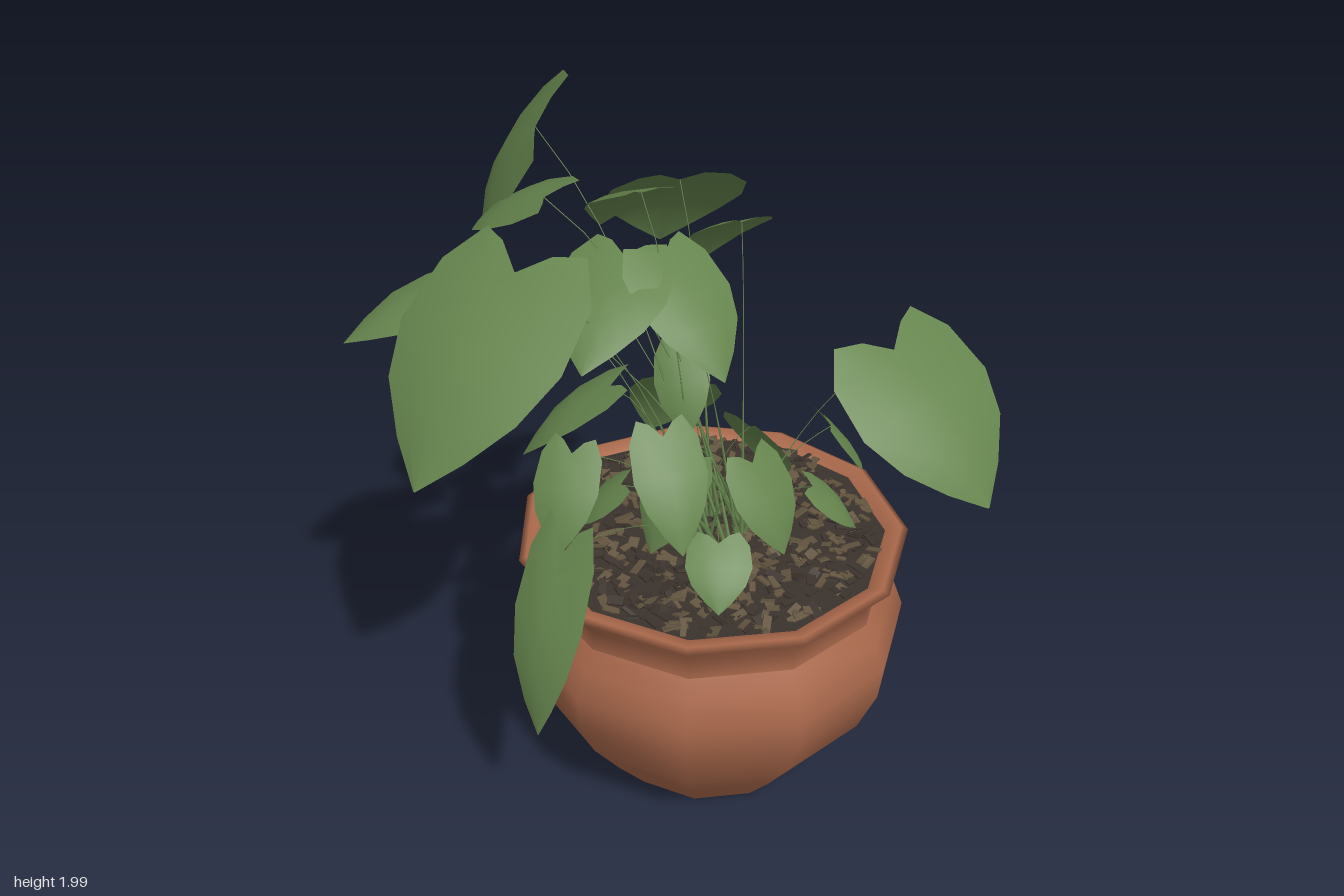
import * as THREE from 'three';
import { mergeGeometries } from 'three/addons/utils/BufferGeometryUtils.js';

const V = (a) => new THREE.Vector3(...a);
const POT = [0.105, 0, 0.215];

function mat(name, color) {
  const m = new THREE.MeshStandardMaterial({ color, side: THREE.DoubleSide });
  m.name = name;
  return m;
}

// Heart-shaped blade from notch to tip: cross-sections along the midrib
function leafGeometry(notch, tip, width, roll) {
  const dir = tip.clone().sub(notch), len = dir.length();
  dir.normalize();
  const side = new THREE.Vector3(-dir.z, 0, dir.x).normalize().applyAxisAngle(dir, roll);
  const normal = new THREE.Vector3().crossVectors(side, dir);
  const rows = [[0, 0.62], [0.14, 0.93], [0.36, 1], [0.6, 0.8], [0.82, 0.42], [1, 0.01]];
  const pos = [], idx = [];
  rows.forEach(([t, w], r) => {
    for (let c = 0; c < 5; c++) {
      const u = (c - 2) / 2, a = Math.abs(u);
      const lobe = a * (1 - a * 0.45) * 0.3 * Math.max(0, 1 - t * 2.5);
      const p = notch.clone()
        .addScaledVector(dir, (t - lobe) * len)
        .addScaledVector(side, u * w * width / 2)
        .addScaledVector(normal, Math.sin(Math.PI * t) * 0.1 * len - u * u * w * 0.09 * width);
      pos.push(p.x, p.y, p.z);
      if (r && c) {
        const d = r * 5 + c;
        idx.push(d - 6, d - 5, d - 1, d - 5, d, d - 1);
      }
    }
  });
  const geo = new THREE.BufferGeometry();
  geo.setAttribute('position', new THREE.Float32BufferAttribute(pos, 3));
  geo.setIndex(normal.y > 0 ? idx.reverse() : idx);
  geo.computeVertexNormals();
  return geo;
}

// Stalk tapering from the soil to the leaf
function stemGeometry(root, end) {
  const bend = root.clone().lerp(end, 0.4);
  bend.y = root.y + (end.y - root.y) * 0.75 + 0.02;
  const path = new THREE.QuadraticBezierCurve3(root, bend, end);
  const geo = new THREE.TubeGeometry(path, 8, 0.008, 4);
  const p = geo.attributes.position, v = new THREE.Vector3();
  for (let i = 0; i < p.count; i++) {
    const t = Math.floor(i / 5) / 8;
    v.fromBufferAttribute(p, i).lerp(path.getPointAt(t), Math.min(0.82, t * 1.6));
    p.setXYZ(i, v.x, v.y, v.z);
  }
  return geo;
}

export function createModel() {
  const group = new THREE.Group();
  const terracotta = mat('terracotta', 0xa9684b);
  const green = mat('leafGreen', 0x66854e);
  const soilBrown = mat('soilBrown', 0x3b322c);
  const chipBrown = mat('chipBrown', 0x62543f);

  const add = (geo, material, name, at = [0, 0, 0]) => {
    const mesh = new THREE.Mesh(geo, material);
    mesh.name = name;
    mesh.position.set(...at);
    group.add(mesh);
    return mesh;
  };

  // Pot: body and collar kept separate for a crisp neck, rim rounded over
  const SIDES = 11;
  const ring = (name, points) => add(
    new THREE.LatheGeometry(points.map(([r, y]) => new THREE.Vector2(r, y)), SIDES),
    terracotta, name, POT);
  ring('potBase', [[0.001, 0], [0.3, 0]]);
  ring('potBody', [[0.3, 0], [0.41, 0.14], [0.51, 0.28], [0.565, 0.42], [0.575, 0.52], [0.545, 0.6], [0.51, 0.66]]);
  ring('potCollarAndRim', [[0.51, 0.66], [0.507, 0.72], [0.57, 0.792], [0.55, 0.802], [0.51, 0.795], [0.49, 0.77]]);

  // Soil with loose bark chips
  const soil = add(new THREE.CircleGeometry(0.505, SIDES), soilBrown, 'soil', [POT[0], 0.787, POT[2]]);
  soil.rotation.set(-Math.PI / 2, 0, -Math.PI / 2);
  let seed = 7;
  const rand = () => (seed = (seed * 16807) % 2147483647) / 2147483647;
  const lightChips = [], darkChips = [];
  for (let i = 0; i < 700; i++) {
    const a = rand() * Math.PI * 2, r = Math.sqrt(rand()) * 0.475;
    const chip = new THREE.BoxGeometry(0.025 + rand() * 0.035, 0.005, 0.012 + rand() * 0.018);
    chip.rotateZ((rand() - 0.5) * 0.7);
    chip.rotateX((rand() - 0.5) * 0.7);
    chip.rotateY(rand() * Math.PI);
    chip.translate(POT[0] + Math.cos(a) * r, 0.789 + rand() * 0.01, POT[2] + Math.sin(a) * r);
    (i % 2 ? lightChips : darkChips).push(chip);
  }
  add(mergeGeometries(lightChips), chipBrown, 'lightBarkChips');
  add(mergeGeometries(darkChips), soilBrown, 'darkBarkChips');

  // Each leaf has a blade and a bowed stalk rising from the pot centre
  let count = 0;
  const addLeaf = (notch, tip, width, roll = 0) => {
    const i = ++count, end = V(notch);
    add(leafGeometry(end, V(tip), width, roll), green, `leaf${i}`);
    const root = V([0.13 + Math.cos(i * 2.4) * 0.07, 0.78, 0.22 + Math.sin(i * 2.4) * 0.07]);
    add(stemGeometry(root, end), green, `stem${i}`);
  };

  // High crown
  addLeaf([-0.18, 1.86, -0.36], [-0.17, 1.48, -0.78], 0.44, -0.95);
  addLeaf([0.13, 1.76, -0.08], [0.23, 1.41, -0.43], 0.4);
  addLeaf([0.24, 1.68, 0.08], [0.27, 1.43, -0.22], 0.2);
  addLeaf([-0.02, 1.78, 0], [0, 1.54, -0.34], 0.22);
  addLeaf([-0.25, 1.76, -0.12], [-0.34, 1.55, -0.45], 0.26, -0.3);
  addLeaf([-0.1, 1.46, -0.2], [-0.12, 1.03, -0.62], 0.32);

  // Left spread
  addLeaf([-0.44, 1.71, 0.17], [-0.8, 1.28, 0.38], 0.52);
  addLeaf([-0.46, 1.6, -0.03], [-0.83, 1.46, -0.1], 0.3);
  addLeaf([-0.28, 1.5, -0.16], [-0.63, 1.28, -0.32], 0.34, 0.35);

  // Middle
  addLeaf([-0.08, 1.62, 0.02], [-0.3, 1.42, 0.25], 0.32);
  addLeaf([0.01, 1.62, 0.08], [0.07, 1.36, 0.34], 0.3);
  addLeaf([-0.2, 1.34, 0.2], [-0.42, 1.12, 0.1], 0.22);
  addLeaf([-0.15, 1.3, 0.43], [-0.17, 1.04, 0.6], 0.2);
  addLeaf([-0.36, 1.24, 0.32], [-0.45, 1, 0.42], 0.18);
  addLeaf([0.06, 1.32, 0.08], [0.04, 1.1, 0.18], 0.16, 0.4);

  // Outer drooping leaves
  addLeaf([0.55, 1.38, 0.4], [0.68, 1.03, 0.73], 0.5, 0.1);
  addLeaf([-0.45, 1.06, 0.48], [-0.57, 0.53, 0.55], 0.22);
  addLeaf([0.6, 0.91, 0.03], [0.72, 0.69, 0.05], 0.23);
  addLeaf([0.12, 1.15, -0.02], [0.13, 0.84, -0.28], 0.26, 0.4);

  // Ring of young leaves near the soil, alternately tall and low, open at the back
  for (let i = -2; i < 4; i++) {
    const a = THREE.MathUtils.degToRad(70 + 45 * i), low = i % 2 !== 0;
    const r = low ? 0.27 : 0.13, y = low ? 0.98 : 1.12;
    const at = (radius, height) => [0.09 + Math.cos(a) * radius, height, 0.27 + Math.sin(a) * radius];
    addLeaf(at(r, y), at(r + 0.13, y - (low ? 0.14 : 0.24)), low ? 0.18 : 0.22);
  }

  return group;
}
